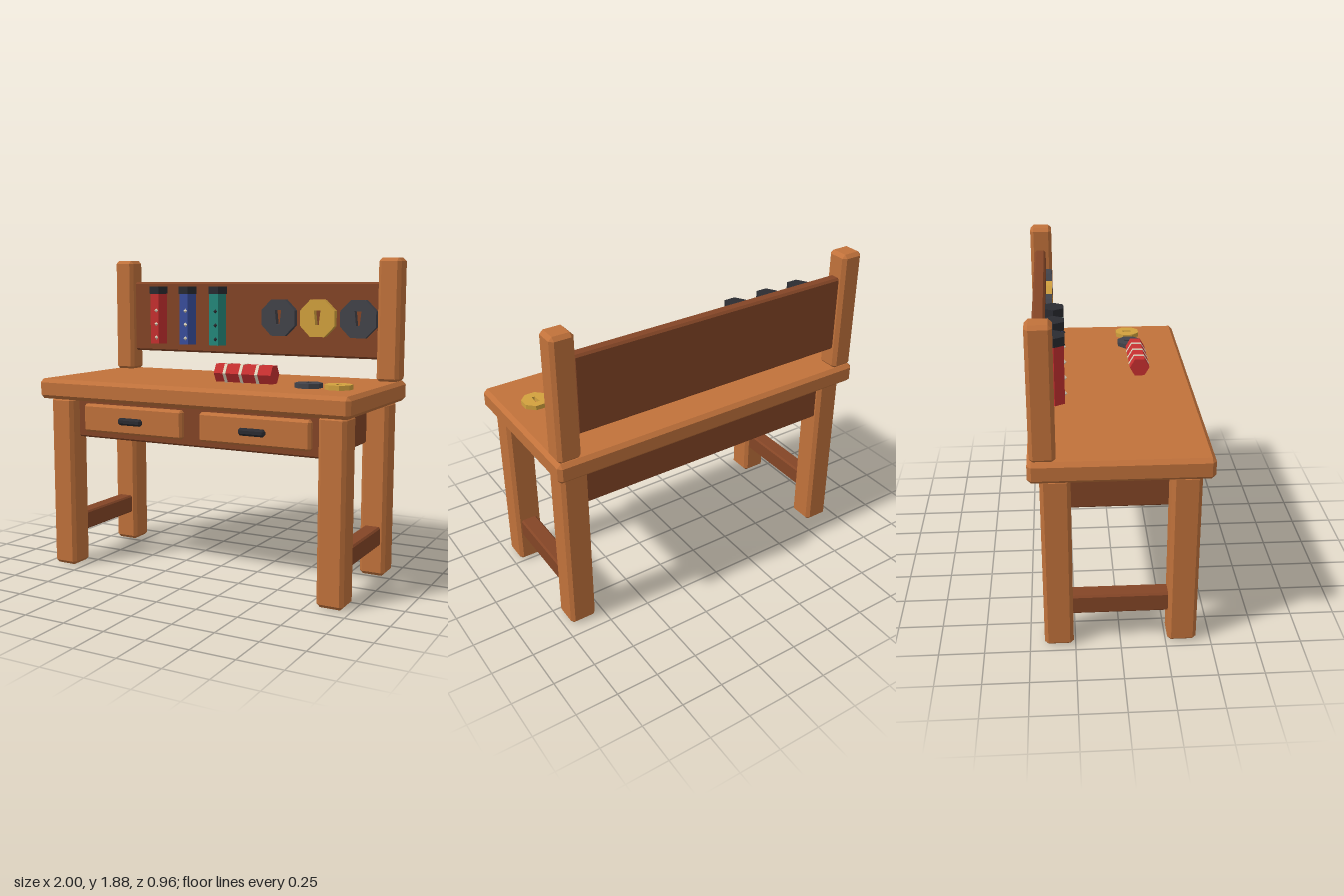
import * as THREE from 'three';
import { ConvexGeometry } from 'three/addons/geometries/ConvexGeometry.js';

const COLORS = {
  wood: 0xc1723b, darkWood: 0x844526, black: 0x2a2b31, iron: 0x42434a,
  gold: 0xd2a13e, red: 0xc83030, blue: 0x3a4f9e, teal: 0x24897c, cream: 0xe3d9c0,
};
const mats = {};
for (const [k, color] of Object.entries(COLORS)) {
  mats[k] = new THREE.MeshStandardMaterial({ color, flatShading: true });
}

function add(parent, name, geometry, mat, x = 0, y = 0, z = 0) {
  const mesh = new THREE.Mesh(geometry, mats[mat]);
  mesh.name = name;
  mesh.position.set(x, y, z);
  parent.add(mesh);
  return mesh;
}

// Box with all edges chamfered by c
function chamferBox(w, h, d, c) {
  const a = w / 2, b = h / 2, e = d / 2, pts = [];
  for (const sx of [-1, 1]) for (const sy of [-1, 1]) for (const sz of [-1, 1]) {
    pts.push(
      new THREE.Vector3(sx * a, sy * (b - c), sz * (e - c)),
      new THREE.Vector3(sx * (a - c), sy * b, sz * (e - c)),
      new THREE.Vector3(sx * (a - c), sy * (b - c), sz * e));
  }
  return new ConvexGeometry(pts);
}

// Chamfered box given by its min and max on each axis
function block(parent, name, mat, [x0, x1], [y0, y1], [z0, z1], c) {
  return add(parent, name, chamferBox(x1 - x0, y1 - y0, z1 - z0, c), mat,
    (x0 + x1) / 2, (y0 + y1) / 2, (z0 + z1) / 2);
}

// Octagonal disc with a tapered slot through it; apothem r, facing +z
function slottedDisc(r, depth) {
  const shape = new THREE.Shape();
  const R = r / Math.cos(Math.PI / 8);
  shape.setFromPoints(Array.from({ length: 8 }, (_, i) => {
    const t = Math.PI / 8 + i * Math.PI / 4;
    return new THREE.Vector2(R * Math.cos(t), R * Math.sin(t));
  }));
  const slot = [[-0.19, 0.42], [-0.1, -0.36], [0.1, -0.36], [0.19, 0.42]];
  shape.holes.push(new THREE.Path(slot.map(([x, y]) => new THREE.Vector2(x * r, y * r))));
  return new THREE.ExtrudeGeometry(shape, { depth, bevelEnabled: false });
}

export function createModel() {
  const model = new THREE.Group();
  model.name = 'workbench';

  // Table
  const table = new THREE.Group();
  table.name = 'table';
  model.add(table);
  block(table, 'tabletop', 'wood', [-1, 1], [1.04, 1.16], [-0.48, 0.48], 0.022);
  block(table, 'apron', 'darkWood', [-0.83, 0.83], [0.8, 1.05], [-0.39, 0.34], 0.01);
  for (const s of [-1, 1]) {
    for (const z of [-0.34, 0.34]) {
      add(table, 'leg', chamferBox(0.157, 1.045, 0.16, 0.02), 'wood', s * 0.88, 0.5225, z);
    }
    add(table, 'sideStretcher', chamferBox(0.1, 0.115, 0.56, 0.01), 'darkWood', s * 0.88, 0.245, 0);
    add(table, 'drawer', chamferBox(0.685, 0.17, 0.05, 0.014), 'wood', s * 0.4, 0.925, 0.355);
    add(table, 'drawerHandle', chamferBox(0.162, 0.042, 0.035, 0.012), 'black', s * 0.4, 0.922, 0.391);
  }

  // Back board
  const rack = new THREE.Group();
  rack.name = 'toolBoard';
  model.add(rack);
  block(rack, 'boardPanel', 'darkWood', [-0.86, 0.86], [1.285, 1.74], [-0.442, -0.372], 0.012);
  for (const s of [-1, 1]) {
    add(rack, 'boardPost', chamferBox(0.135, 0.725, 0.135, 0.02), 'wood', s * 0.922, 1.5175, -0.4);
  }

  // Hanging hexagonal tubes with caps and studs
  [['red', 'cream'], ['blue', 'cream'], ['teal', 'black']].forEach(([color, studColor], i) => {
    const tube = new THREE.Group();
    tube.name = 'hangingTube';
    tube.position.set(-0.644 + i * 0.22, 0, -0.33);
    rack.add(tube);
    const hex = (r, h) => new THREE.CylinderGeometry(r, r, h, 6).rotateY(Math.PI / 2);
    add(tube, 'tubeBody', hex(0.061, 0.34), color, 0, 1.51, 0);
    add(tube, 'tubeCap', hex(0.067, 0.048), 'black', 0, 1.688, 0);
    for (const y of [1.38, 1.468, 1.556]) {
      add(tube, 'stud', new THREE.OctahedronGeometry(0.021), studColor, 0.013, y, 0.046);
    }
  });

  // Hanging discs
  const discColors = ['iron', 'gold', 'iron'];
  discColors.forEach((color, i) => {
    add(rack, 'hangingDisc', slottedDisc(0.112, 0.04), color, 0.217 + i * 0.26, 1.522, -0.375);
  });

  // Items on the tabletop
  const items = new THREE.Group();
  items.name = 'tabletopItems';
  model.add(items);
  const roll = (r, l) => new THREE.CylinderGeometry(r, r, l, 6).rotateZ(Math.PI / 2);
  add(items, 'roll', roll(0.059, 0.36), 'red', 0.26, 1.223, 0.18);
  for (const x of [0.147, 0.248, 0.349]) {
    add(items, 'rollBand', roll(0.062, 0.018), 'cream', x, 1.223, 0.18);
  }
  [['iron', 0.637], ['gold', 0.815]].forEach(([color, x]) => {
    add(items, 'looseDisc', slottedDisc(0.073, 0.027).rotateX(-Math.PI / 2), color, x, 1.16, 0.158);
  });

  return model;
}
